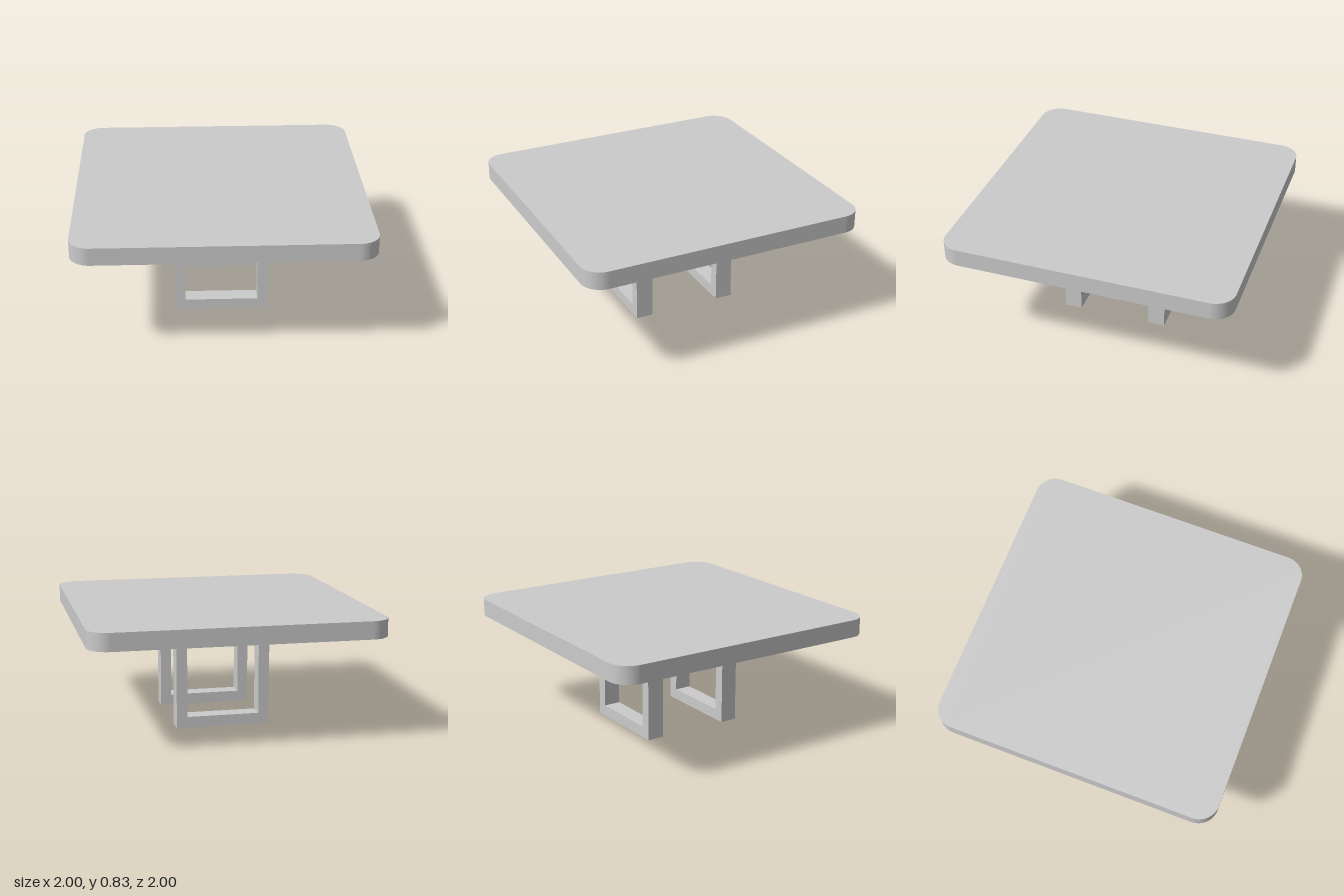
import * as THREE from 'three';

const material = new THREE.MeshStandardMaterial({ color: 0xcccccc });

// Rectangle outline with optional rounded corners, centred on x = 0
function rect(Type, halfWidth, bottom, top, r = 0) {
  const s = new Type();
  if (!r) {
    s.moveTo(-halfWidth, bottom).lineTo(halfWidth, bottom);
    s.lineTo(halfWidth, top).lineTo(-halfWidth, top).closePath();
    return s;
  }
  const cx = halfWidth - r;
  s.absarc(cx, bottom + r, r, -Math.PI / 2, 0);
  s.absarc(cx, top - r, r, 0, Math.PI / 2);
  s.absarc(-cx, top - r, r, Math.PI / 2, Math.PI);
  s.absarc(-cx, bottom + r, r, Math.PI, Math.PI * 1.5);
  s.closePath();
  return s;
}

function addMesh(group, name, geometry) {
  const mesh = new THREE.Mesh(geometry, material);
  mesh.name = name;
  group.add(mesh);
  return mesh;
}

export function createModel() {
  const group = new THREE.Group();
  group.name = 'table';
  const underside = 0.708, topHeight = 0.83;

  // Square top with rounded corners
  const topGeometry = new THREE.ExtrudeGeometry(rect(THREE.Shape, 1, -1, 1, 0.14), {
    depth: topHeight - underside, bevelEnabled: false, curveSegments: 12,
  });
  topGeometry.rotateX(-Math.PI / 2);
  addMesh(group, 'tableTop', topGeometry).position.y = underside;

  // Two open rectangular leg frames, front and back
  const frame = rect(THREE.Shape, 0.328, 0, underside);
  frame.holes.push(rect(THREE.Path, 0.253, 0.078, 0.58));
  const frameDepth = 0.12;
  const frameGeometry = new THREE.ExtrudeGeometry(frame, { depth: frameDepth, bevelEnabled: false });
  frameGeometry.translate(0, 0, -frameDepth / 2);
  for (const [name, side] of [['frontLegFrame', 1], ['backLegFrame', -1]]) {
    addMesh(group, name, frameGeometry).position.z = side * 0.313;
  }

  // Block under the top joining the two frames
  const block = new THREE.BoxGeometry(0.506, underside - 0.58, 0.506);
  addMesh(group, 'crossBlock', block).position.y = (underside + 0.58) / 2;

  return group;
}
